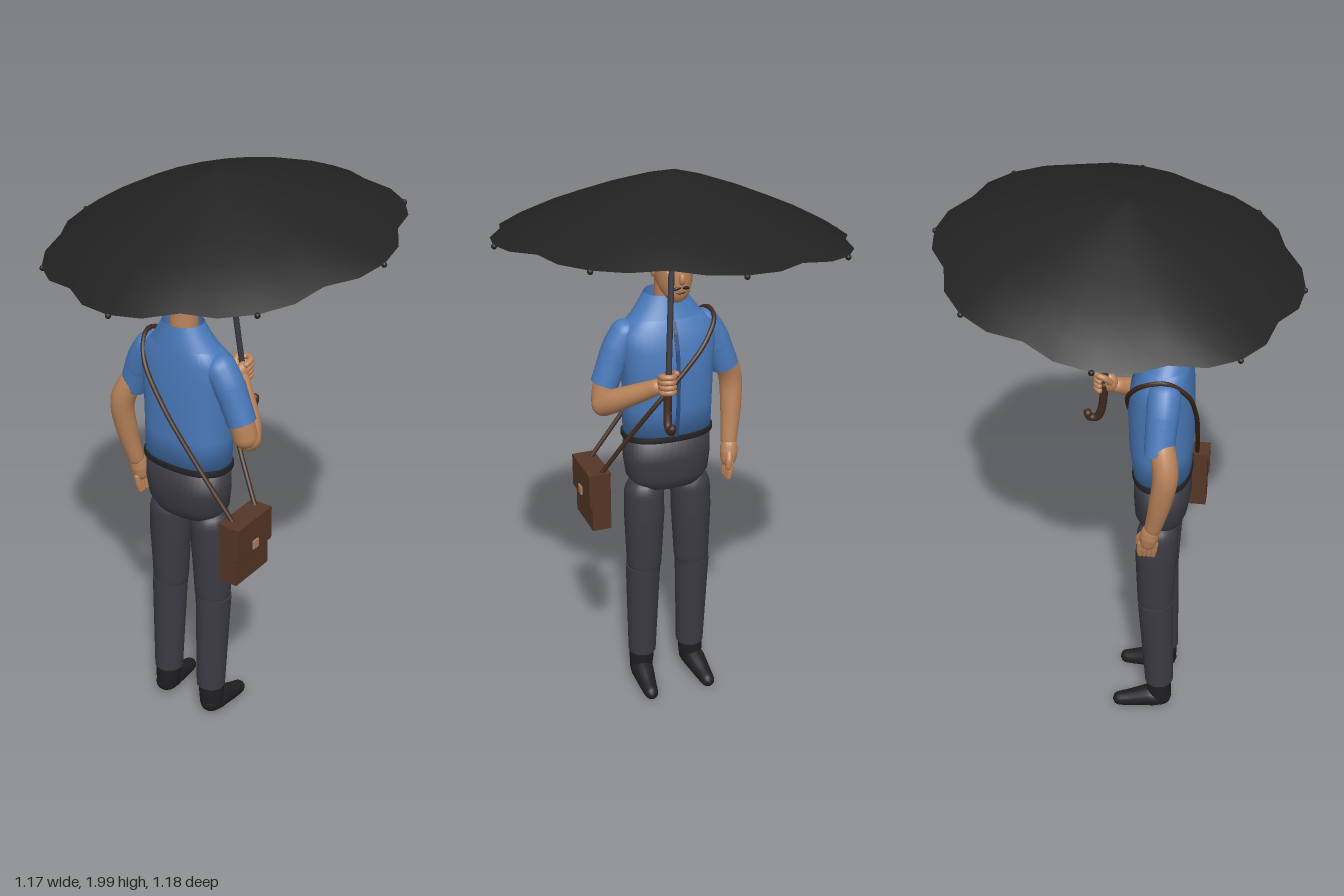
import * as THREE from 'three';
import { mergeVertices } from 'three/addons/utils/BufferGeometryUtils.js';

const MID = -0.037; // z of the body's mirror plane

const paint = (name, color, side = THREE.FrontSide) => {
  const m = new THREE.MeshStandardMaterial({ color, side });
  m.name = name;
  return m;
};

// Rounded limb along [x, y, z, radius] points
function limbGeometry(pts, rings = 26, sides = 18) {
  const curve = new THREE.CatmullRomCurve3(pts.map(p => new THREE.Vector3(p[0], p[1], p[2])));
  const g = new THREE.TubeGeometry(curve, rings, 1, sides, false);
  const pos = g.attributes.position, len = curve.getLength(), v = new THREE.Vector3();
  for (let i = 0; i <= rings; i++) {
    const u = i / rings, c = curve.getPointAt(u);
    const t = curve.getUtoTmapping(u) * (pts.length - 1);
    const k = Math.min(Math.floor(t), pts.length - 2);
    let r = THREE.MathUtils.lerp(pts[k][3], pts[k + 1][3], t - k);
    const d = Math.min(u, 1 - u) * len;
    if (d < r) r *= Math.sqrt(1 - (1 - d / r) ** 2);
    for (let j = 0; j <= sides; j++) {
      const n = i * (sides + 1) + j;
      v.fromBufferAttribute(pos, n).sub(c).multiplyScalar(r).add(c);
      pos.setXYZ(n, v.x, v.y, v.z);
    }
  }
  g.deleteAttribute('uv');
  g.deleteAttribute('normal');
  const m = mergeVertices(g, 1e-5);
  m.computeVertexNormals();
  return m;
}

// Stacked superellipse rings [y, centreX, radiusX, radiusZ], bottom to top
function loftGeometry(rings, cz, power = 2, capped = true, sides = 40) {
  const p = [], idx = [];
  const bend = a => Math.sign(a) * Math.abs(a) ** (2 / power);
  for (const [y, cx, rx, rz] of rings)
    for (let j = 0; j < sides; j++) {
      const a = j / sides * Math.PI * 2;
      p.push(cx + rx * bend(Math.cos(a)), y, cz + rz * bend(Math.sin(a)));
    }
  for (let i = 0; i < rings.length - 1; i++)
    for (let j = 0; j < sides; j++) {
      const a = i * sides + j, b = i * sides + (j + 1) % sides;
      idx.push(a, a + sides, b, b, a + sides, b + sides);
    }
  if (capped) {
    const last = rings.length - 1, n = p.length / 3;
    p.push(rings[0][1], rings[0][0], cz, rings[last][1], rings[last][0], cz);
    for (let j = 0; j < sides; j++) {
      const k = (j + 1) % sides;
      idx.push(n, j, k, n + 1, last * sides + k, last * sides + j);
    }
  }
  const g = new THREE.BufferGeometry();
  g.setAttribute('position', new THREE.Float32BufferAttribute(p, 3));
  g.setIndex(idx);
  g.computeVertexNormals();
  return g;
}

// Scalloped dome with eight ribs
function canopyGeometry() {
  const profile = [[0, 0.213], [0.1, 0.192], [0.22, 0.157], [0.33, 0.118], [0.42, 0.084], [0.51, 0.043], [0.583, 0]];
  const p = [], idx = [], n = 32;
  for (const [r, h] of profile)
    for (let j = 0; j < n; j++) {
      const a = j / n * Math.PI * 2, f = r / 0.583;
      const dip = [0, 0.012, 0.06, 0.012][j % 4] * f * f;
      p.push(r * (1 - dip) * Math.cos(a), h + dip * 0.15, r * (1 - dip) * Math.sin(a));
    }
  for (let i = 0; i < profile.length - 1; i++)
    for (let j = 0; j < n; j++) {
      const a = i * n + j, b = i * n + (j + 1) % n;
      if (i > 0) idx.push(a, b, a + n);
      idx.push(b, b + n, a + n);
    }
  const g = new THREE.BufferGeometry();
  g.setAttribute('position', new THREE.Float32BufferAttribute(p, 3));
  g.setIndex(idx);
  g.computeVertexNormals();
  return g;
}

export function createModel() {
  const model = new THREE.Group();
  const black = paint('black cloth and hair', 0x222222, THREE.DoubleSide);
  const shoe = paint('dark shoe', 0x1f1f22);
  const trouser = paint('charcoal trousers', 0x3c3b44);
  const shirt = paint('blue shirt', 0x4a7aba, THREE.DoubleSide);
  const seam = paint('dark blue seam', 0x2f4c7c);
  const skin = paint('skin', 0xb9835a);
  const leather = paint('brown leather', 0x553626);
  const strapBrown = paint('dark brown', 0x402a1e);
  const brass = paint('buckle tan', 0xb08060);
  const white = paint('eye white', 0xe8e2da);

  const add = (name, geo, mat, parent = model) => {
    const m = new THREE.Mesh(geo, mat);
    m.name = name;
    parent.add(m);
    return m;
  };
  const limb = (name, pts, mat, parent) => add(name, limbGeometry(pts), mat, parent);
  const box = (name, w, h, d, x, y, z, mat) =>
    add(name, new THREE.BoxGeometry(w, h, d), mat).position.set(x, y, z);
  const blob = (name, x, y, z, sx, sy, sz, mat) => {
    const m = add(name, new THREE.SphereGeometry(1, 18, 12), mat);
    m.position.set(x, y, z);
    m.scale.set(sx, sy, sz);
    return m;
  };

  // Legs, shoes, sleeves: mirrored about the body plane
  for (const s of [1, -1]) {
    const Z = d => MID + s * d;
    limb('thigh', [[-0.15, 0.88, Z(0.086), 0.07], [-0.145, 0.72, Z(0.089), 0.072], [-0.145, 0.46, Z(0.092), 0.06]], trouser);
    add('shin', new THREE.CylinderGeometry(0.063, 0.051, 0.38, 24), trouser).position.set(-0.155, 0.325, Z(0.095));
    const shin = model.children[model.children.length - 1];
    shin.rotation.z = -0.05;
    limb('ankle', [[-0.165, 0.17, Z(0.097), 0.046], [-0.165, 0.1, Z(0.098), 0.045], [-0.17, 0.02, Z(0.102), 0.04]], shoe);
    limb('foot', [[-0.212, 0.06, Z(0.1), 0.035], [-0.14, 0.055, Z(0.104), 0.042], [-0.06, 0.036, Z(0.11), 0.031], [0.005, 0.024, Z(0.114), 0.022]], shoe);
    limb('sleeveShoulder', [[-0.165, 1.45, Z(0.11), 0.055], [-0.165, 1.37, Z(0.168), 0.053], [-0.16, 1.28, Z(0.207), 0.05]], shirt);
    const a = new THREE.Vector3(-0.164, 1.36, Z(0.176)), b = new THREE.Vector3(-0.16, 1.24, Z(0.222));
    const cuff = add('sleeveCuff', new THREE.CylinderGeometry(0.052, 0.048, a.distanceTo(b), 24), shirt);
    cuff.position.copy(a).lerp(b, 0.5);
    cuff.quaternion.setFromUnitVectors(new THREE.Vector3(0, 1, 0), a.sub(b).normalize());
  }

  // Hips, belt and shirt body
  add('hips', loftGeometry([[0.822, -0.15, 0.045, 0.07], [0.84, -0.15, 0.075, 0.12], [0.88, -0.152, 0.09, 0.148],
    [0.95, -0.155, 0.097, 0.157], [1.045, -0.153, 0.093, 0.155]], MID, 2.4), trouser);
  add('belt', loftGeometry([[1.03, -0.153, 0.099, 0.162], [1.034, -0.153, 0.101, 0.164], [1.048, -0.153, 0.101, 0.164],
    [1.052, -0.153, 0.098, 0.161]], MID, 2.4), black);
  const body = [[1.04, -0.153, 0.096, 0.157], [1.15, -0.148, 0.106, 0.157], [1.28, -0.145, 0.108, 0.16],
    [1.37, -0.148, 0.102, 0.167], [1.425, -0.154, 0.09, 0.166], [1.462, -0.162, 0.078, 0.13],
    [1.49, -0.168, 0.068, 0.085], [1.51, -0.17, 0.058, 0.066]];
  add('shirtBody', loftGeometry(body, MID, 2.4), shirt);
  add('collarStand', loftGeometry([[1.48, -0.17, 0.064, 0.072], [1.545, -0.172, 0.061, 0.07]], MID, 2, false), shirt);
  add('collarFold', loftGeometry([[1.468, -0.163, 0.083, 0.125], [1.505, -0.169, 0.073, 0.096], [1.545, -0.172, 0.062, 0.071]], MID, 2, false), shirt);

  // Button strip hugging the shirt front
  for (let i = 0; i < 5; i++) {
    const [y0, c0, r0] = body[i], [y1, c1, r1] = body[i + 1];
    const dx = c1 + r1 - c0 - r0, dy = y1 - y0;
    const strip = add('buttonStrip', new THREE.BoxGeometry(0.005, Math.hypot(dx, dy), 0.014), seam);
    strip.position.set((c0 + r0 + c1 + r1) / 2, (y0 + y1) / 2, MID);
    strip.rotation.z = -Math.atan2(dx, dy);
  }

  // Neck and head
  const hz = -0.05;
  add('neck', new THREE.CylinderGeometry(0.045, 0.048, 0.13, 24), skin).position.set(-0.158, 1.555, -0.045);
  add('head', loftGeometry([[1.533, -0.088, 0.018, 0.018], [1.545, -0.094, 0.038, 0.034], [1.565, -0.106, 0.057, 0.048],
    [1.595, -0.119, 0.074, 0.06], [1.64, -0.129, 0.086, 0.067], [1.69, -0.142, 0.085, 0.067],
    [1.72, -0.15, 0.07, 0.056], [1.745, -0.15, 0.042, 0.033], [1.752, -0.15, 0.015, 0.012]], hz), skin);
  const hairParts = [
    ['hairTop', new THREE.SphereGeometry(1, 40, 14, 0, Math.PI * 2, 0, Math.acos(0.2))],
    ['hairBack', new THREE.SphereGeometry(1, 28, 24, -Math.PI / 2, Math.PI)],
  ];
  for (const [name, g] of hairParts) {
    const hair = add(name, g, black);
    hair.position.set(name === 'hairTop' ? -0.15 : -0.152, 1.665, hz);
    hair.scale.set(0.1, 0.096, 0.074);
    if (name === 'hairBack') { // turn the half shell to the back of the head
      g.rotateY(-Math.PI / 2);
    }
  }
  blob('nose', -0.042, 1.622, hz, 0.013, 0.02, 0.011, skin);
  for (const s of [1, -1]) {
    blob('ear', -0.135, 1.635, hz + s * 0.067, 0.016, 0.025, 0.009, skin);
    blob('eyeWhite', -0.057, 1.643, hz + s * 0.033, 0.006, 0.008, 0.013, white).rotation.y = s * -0.5;
    blob('pupil', -0.052, 1.643, hz + s * 0.032, 0.004, 0.007, 0.007, black);
    const brow = blob('eyebrow', -0.054, 1.665, hz + s * 0.034, 0.005, 0.006, 0.019, black);
    brow.rotation.y = s * -0.5;
    blob('moustache', -0.05, 1.59, hz + s * 0.013, 0.006, 0.006, 0.017, black).rotation.x = s * 0.25;
  }
  blob('mouth', -0.052, 1.572, hz, 0.006, 0.004, 0.016, strapBrown);

  // Bent arm gripping the handle
  limb('bentUpperArm', [[-0.16, 1.3, 0.165, 0.042], [-0.158, 1.23, 0.185, 0.042], [-0.148, 1.15, 0.2, 0.042]], skin);
  limb('bentForearm', [[-0.17, 1.155, 0.215, 0.042], [-0.1, 1.2, 0.17, 0.041], [0.0, 1.27, 0.075, 0.029], [0.035, 1.295, 0.045, 0.025]], skin);
  blob('grippingPalm', 0.04, 1.3, 0.045, 0.03, 0.035, 0.022, skin);
  for (let i = 0; i < 4; i++) {
    const y = 1.335 - i * 0.018;
    limb('grippingFinger', [[0.03, y - 0.012, 0.055, 0.01], [0.068, y, 0.058, 0.011], [0.082, y + 0.002, 0.035, 0.01], [0.062, y - 0.004, 0.014, 0.009]], skin);
  }
  limb('grippingThumb', [[0.03, 1.305, 0.03, 0.012], [0.05, 1.335, 0.012, 0.011], [0.078, 1.345, 0.012, 0.009]], skin);

  // Hanging arm
  limb('hangingArm', [[-0.16, 1.3, -0.24, 0.042], [-0.185, 1.19, -0.288, 0.042], [-0.17, 1.07, -0.287, 0.037], [-0.14, 0.92, -0.267, 0.026]], skin);
  limb('hangingPalm', [[-0.147, 0.965, -0.272, 0.027], [-0.135, 0.915, -0.268, 0.032], [-0.128, 0.86, -0.262, 0.025]], skin);
  for (let i = 0; i < 4; i++)
    limb('hangingFinger', [[-0.155 + i * 0.016, 0.89, -0.265, 0.011], [-0.15 + i * 0.016, 0.85, -0.26, 0.011], [-0.145 + i * 0.014, 0.815, -0.254, 0.008]], skin);
  limb('hangingThumb', [[-0.125, 0.93, -0.265, 0.012], [-0.1, 0.895, -0.255, 0.012], [-0.095, 0.86, -0.25, 0.009]], skin);

  // Satchel and strap
  box('bagBody', 0.18, 0.21, 0.068, -0.198, 0.812, 0.222, leather);
  box('bagFlapFront', 0.19, 0.12, 0.012, -0.198, 0.866, 0.261, leather);
  box('bagFlapTop', 0.19, 0.012, 0.08, -0.198, 0.92, 0.227, leather);
  box('flapEdge', 0.186, 0.006, 0.008, -0.198, 0.804, 0.26, strapBrown);
  box('buckle', 0.03, 0.03, 0.008, -0.198, 0.832, 0.269, brass);
  const strapPath = [[-0.125, 0.92, 0.215], [-0.085, 1.05, 0.135], [-0.036, 1.19, 0.045], [-0.034, 1.3, -0.06], [-0.05, 1.38, -0.135],
    [-0.1, 1.45, -0.19], [-0.17, 1.465, -0.19], [-0.235, 1.4, -0.15], [-0.259, 1.27, -0.06], [-0.258, 1.1, 0.07], [-0.25, 0.92, 0.215]];
  const strapCurve = new THREE.CatmullRomCurve3(strapPath.map(p => new THREE.Vector3(...p)));
  add('strap', new THREE.TubeGeometry(strapCurve, 70, 0.008, 8), strapBrown);

  // Tilted umbrella
  const umbrella = new THREE.Group();
  umbrella.name = 'umbrella';
  umbrella.position.y = 1.787;
  umbrella.quaternion.setFromUnitVectors(new THREE.Vector3(0, 1, 0), new THREE.Vector3(-0.112, 1, -0.073).normalize());
  model.add(umbrella);
  add('canopy', canopyGeometry(), black, umbrella);
  add('shaft', new THREE.CylinderGeometry(0.01, 0.01, 0.74, 14), trouser, umbrella).position.y = -0.165;
  const hook = [[0, -0.48], [0, -0.6], [0.012, -0.637], [0.036, -0.642], [0.05, -0.612]];
  limb('handle', hook.map(([x, y]) => [x, y, 0, 0.014]), strapBrown, umbrella);
  for (let i = 0; i < 8; i++) {
    const a = i * Math.PI / 4;
    add('ribTip', new THREE.SphereGeometry(0.009, 10, 8), black, umbrella)
      .position.set(0.581 * Math.cos(a), -0.004, 0.581 * Math.sin(a));
  }
  return model;
}
